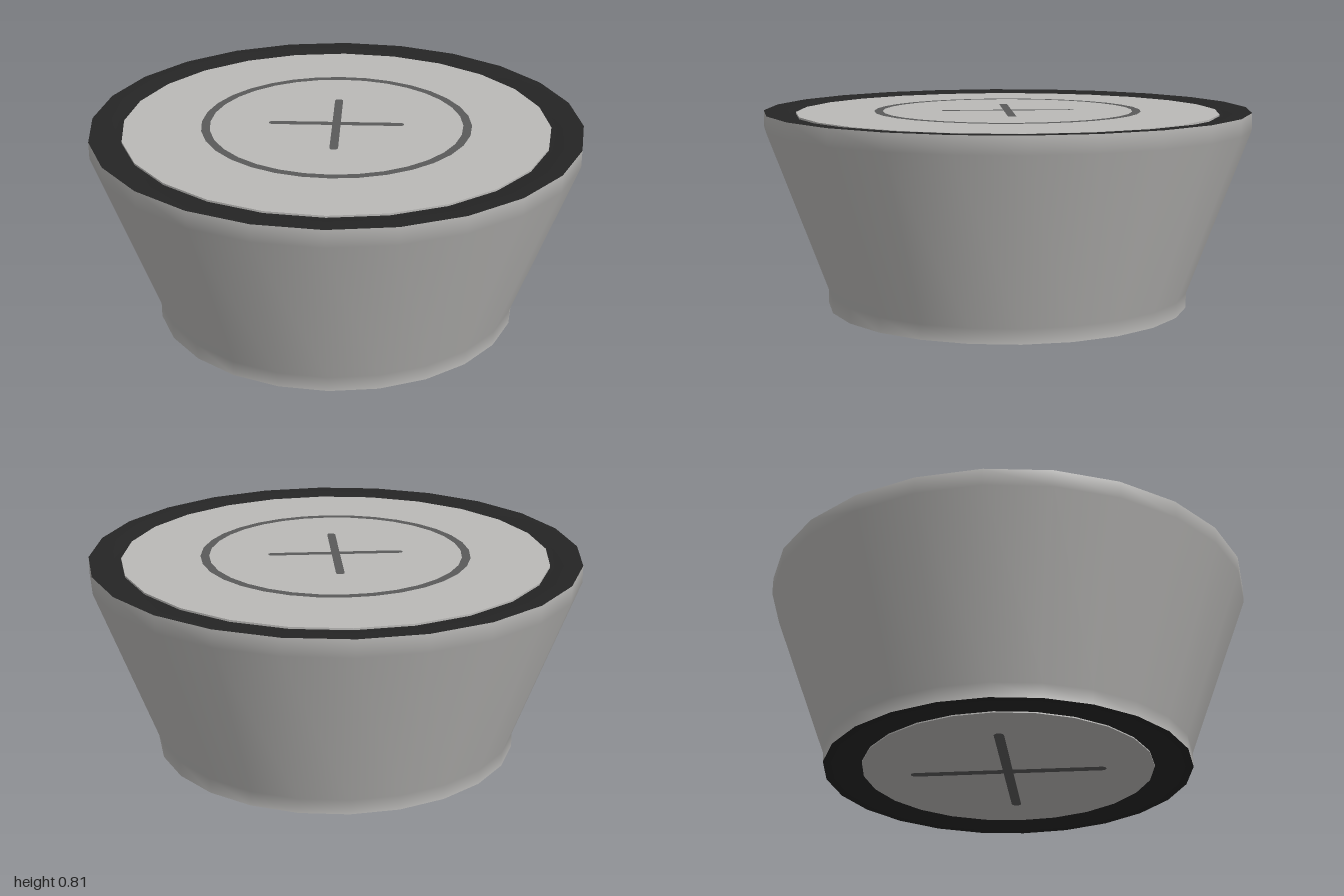
import * as THREE from 'three';

const SIDES = 24;
const mat = (name, color) => {
  const m = new THREE.MeshStandardMaterial({ color });
  m.name = name;
  return m;
};

export function createModel() {
  const model = new THREE.Group();
  model.name = 'taperedKnob';
  const shell = mat('light grey', 0xbab9b7);
  const black = mat('black rubber', 0x252525);
  const markGrey = mat('mark grey', 0x5a5a5a);

  const add = (name, geometry, material, parent = model) => {
    const mesh = new THREE.Mesh(geometry, material);
    mesh.name = name;
    parent.add(mesh);
    return mesh;
  };
  const lathe = (points) =>
    new THREE.LatheGeometry(points.map(([r, y]) => new THREE.Vector2(r, y)), SIDES);

  // Flaring side wall with short straight bands at both ends
  add('sideWall', lathe([[0.75, 0], [0.75, 0.06], [1, 0.74], [1, 0.81]]), shell);

  // Dark rims that dip gently towards the end discs
  add('topRim', lathe([[1, 0.81], [0.93, 0.808], [0.9, 0.796], [0.86, 0.794]]), black);
  add('bottomRim', lathe([[0.58, 0.014], [0.61, 0.012], [0.64, 0.003], [0.75, 0]]), black);

  // End face: disc with a rounded cross, lying in a plane that faces +y
  const endFace = (name, radius, arm, width) => {
    const face = new THREE.Group();
    face.name = name;
    const disc = new THREE.CylinderGeometry(radius, radius, 0.008, SIDES);
    add('disc', disc, shell, face).position.y = -0.004;
    for (const turn of [0, Math.PI / 2]) {
      const r = width / 2, e = arm - r;
      const shape = new THREE.Shape();
      shape.absarc(e, 0, r, -Math.PI / 2, Math.PI / 2);
      shape.absarc(-e, 0, r, Math.PI / 2, Math.PI * 1.5);
      const bar = new THREE.ShapeGeometry(shape, 6).rotateX(-Math.PI / 2).rotateY(turn);
      add('crossBar', bar, markGrey, face).position.y = 0.002;
    }
    model.add(face);
    return face;
  };

  // Top face with its circular line
  const top = endFace('topFace', 0.87, 0.275, 0.034);
  top.position.y = 0.802;
  const ring = new THREE.RingGeometry(0.515, 0.55, 32).rotateX(-Math.PI / 2);
  add('circleLine', ring, markGrey, top).position.y = 0.002;

  // Bottom face, turned to look down
  const bottom = endFace('bottomFace', 0.595, 0.4, 0.04);
  bottom.rotation.x = Math.PI;
  bottom.position.y = 0.008;

  return model;
}
